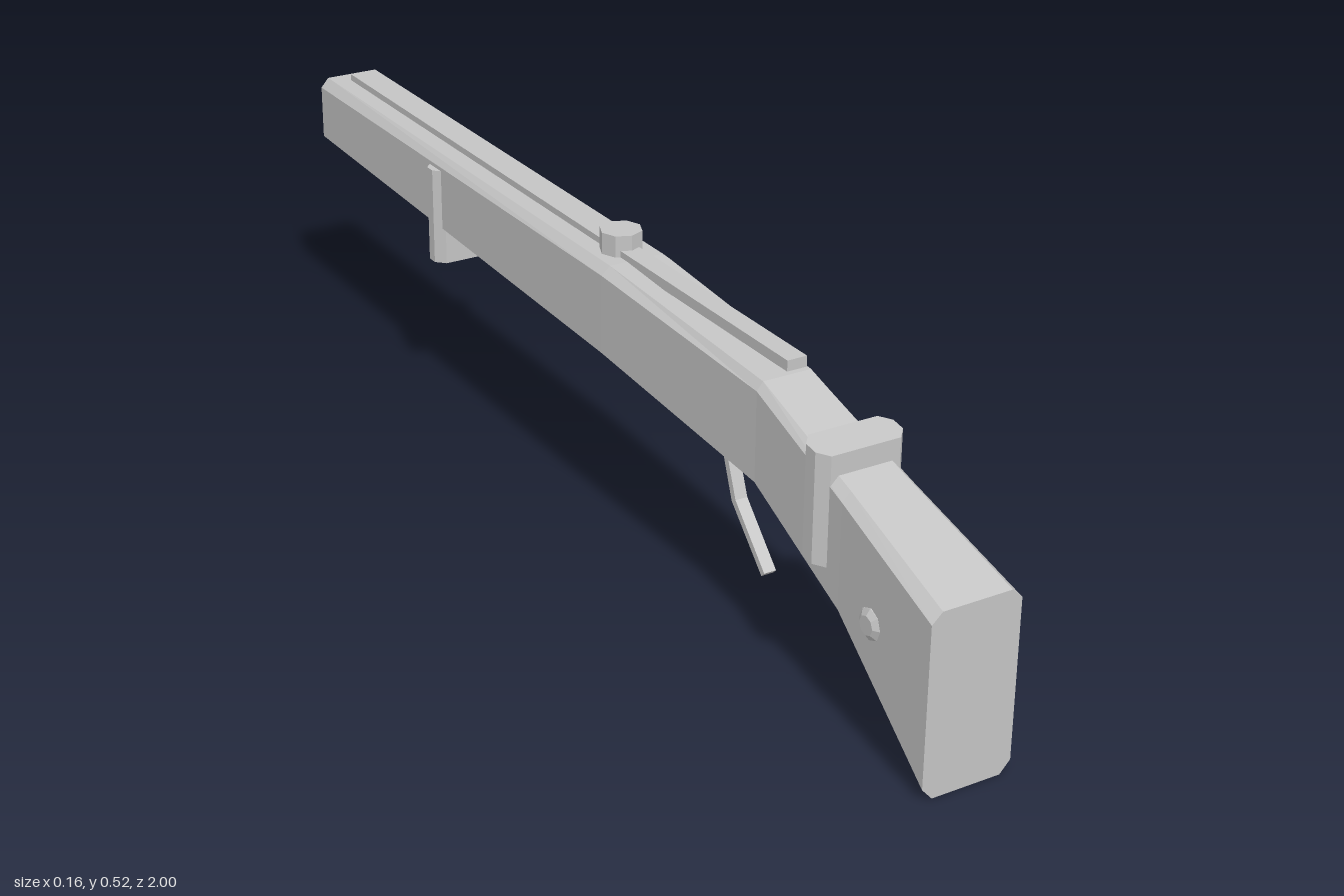
import * as THREE from 'three';

const grey = new THREE.MeshStandardMaterial({ color: 0xc4c4c4, flatShading: true });
grey.name = 'plain grey';

// z, bottom, lower edge, upper edge, top, half width, half width of top, half width of bottom
const SECTIONS = [
  [1.0, 0.0, 0.02, 0.288, 0.305, 0.078, 0.06, 0.06],
  [0.76, 0.175, 0.187, 0.363, 0.378, 0.063, 0.048, 0.047],
  [0.52, 0.275, 0.286, 0.438, 0.452, 0.054, 0.043, 0.042],
  [0.08, 0.315, 0.328, 0.465, 0.479, 0.066, 0.05, 0.05],
  [-1.0, 0.348, 0.362, 0.461, 0.478, 0.065, 0.05, 0.05],
];

// Chamfered section swept along the length
function stockGeometry() {
  const pos = [], index = [], n = 8;
  for (const [z, b, lo, hi, t, w, wt, wb] of SECTIONS) {
    const ring = [[wb, b], [w, lo], [w, hi], [wt, t], [-wt, t], [-w, hi], [-w, lo], [-wb, b]];
    for (const [x, y] of ring) pos.push(x, y, z);
  }
  const last = (SECTIONS.length - 1) * n;
  for (let s = 0; s < last; s += n) {
    for (let i = 0; i < n; i++) {
      const a = s + i, b = s + (i + 1) % n;
      index.push(a, a + n, b, b, a + n, b + n);
    }
  }
  for (let i = 1; i < n - 1; i++) {
    index.push(0, i, i + 1);
    index.push(last, last + i + 1, last + i);
  }
  const g = new THREE.BufferGeometry();
  g.setAttribute('position', new THREE.Float32BufferAttribute(pos, 3));
  g.setIndex(index);
  g.computeVertexNormals();
  return g;
}

// Upright block with chamfered corners, its ends sloped along z
function clampGeometry(w, d, cx, cz, height, slope) {
  const shape = new THREE.Shape([
    [w - cx, -d], [w, -d + cz], [w, d - cz], [w - cx, d],
    [-w + cx, d], [-w, d - cz], [-w, -d + cz], [-w + cx, -d],
  ].map(([x, y]) => new THREE.Vector2(x, y)));
  const g = new THREE.ExtrudeGeometry(shape, { depth: height, bevelEnabled: false });
  g.rotateX(-Math.PI / 2);
  const p = g.attributes.position;
  for (let i = 0; i < p.count; i++) p.setY(i, p.getY(i) - slope * p.getZ(i));
  g.computeVertexNormals();
  return g;
}

// Bent trigger lever, drawn in z and y, extruded across x
function triggerGeometry() {
  const shape = new THREE.Shape([
    [0.348, 0.305], [0.393, 0.184], [0.482, 0.092], [0.49, 0.1], [0.404, 0.19], [0.36, 0.305],
  ].map(([z, y]) => new THREE.Vector2(-z, y)));
  const g = new THREE.ExtrudeGeometry(shape, { depth: 0.022, bevelEnabled: false });
  g.translate(0, 0, -0.011);
  return g.rotateY(Math.PI / 2);
}

export function createModel() {
  const model = new THREE.Group();
  model.name = 'gunStock';
  const add = (name, geometry, x = 0, y = 0, z = 0) => {
    const mesh = new THREE.Mesh(geometry, grey);
    mesh.name = name;
    mesh.position.set(x, y, z);
    model.add(mesh);
    return mesh;
  };

  add('stock', stockGeometry());
  add('topRail', new THREE.BoxGeometry(0.035, 0.018, 1.51), 0, 0.481, -0.21);
  add('knob', new THREE.CylinderGeometry(0.036, 0.036, 0.04, 8), 0, 0.496, 0.03);
  add('rearClamp', clampGeometry(0.077, 0.03, 0.016, 0.018, 0.182, 0.15), 0, 0.245, 0.697);
  add('frontClamp', clampGeometry(0.077, 0.026, 0.016, 0.016, 0.177, 0), 0, 0.279, -0.513);
  add('trigger', triggerGeometry());

  // Bevelled studs on both sides of the butt
  for (const side of [1, -1]) {
    const profile = [[0, 0.03], [0.016, 0.03], [0.026, 0.023], [0.026, 0]];
    const stud = new THREE.LatheGeometry(
      profile.reverse().map(([r, h]) => new THREE.Vector2(r, h)), 8);
    const mesh = add(side > 0 ? 'leftStud' : 'rightStud', stud, side * 0.047, 0.21, 0.848);
    mesh.rotation.z = -side * Math.PI / 2;
  }
  return model;
}
